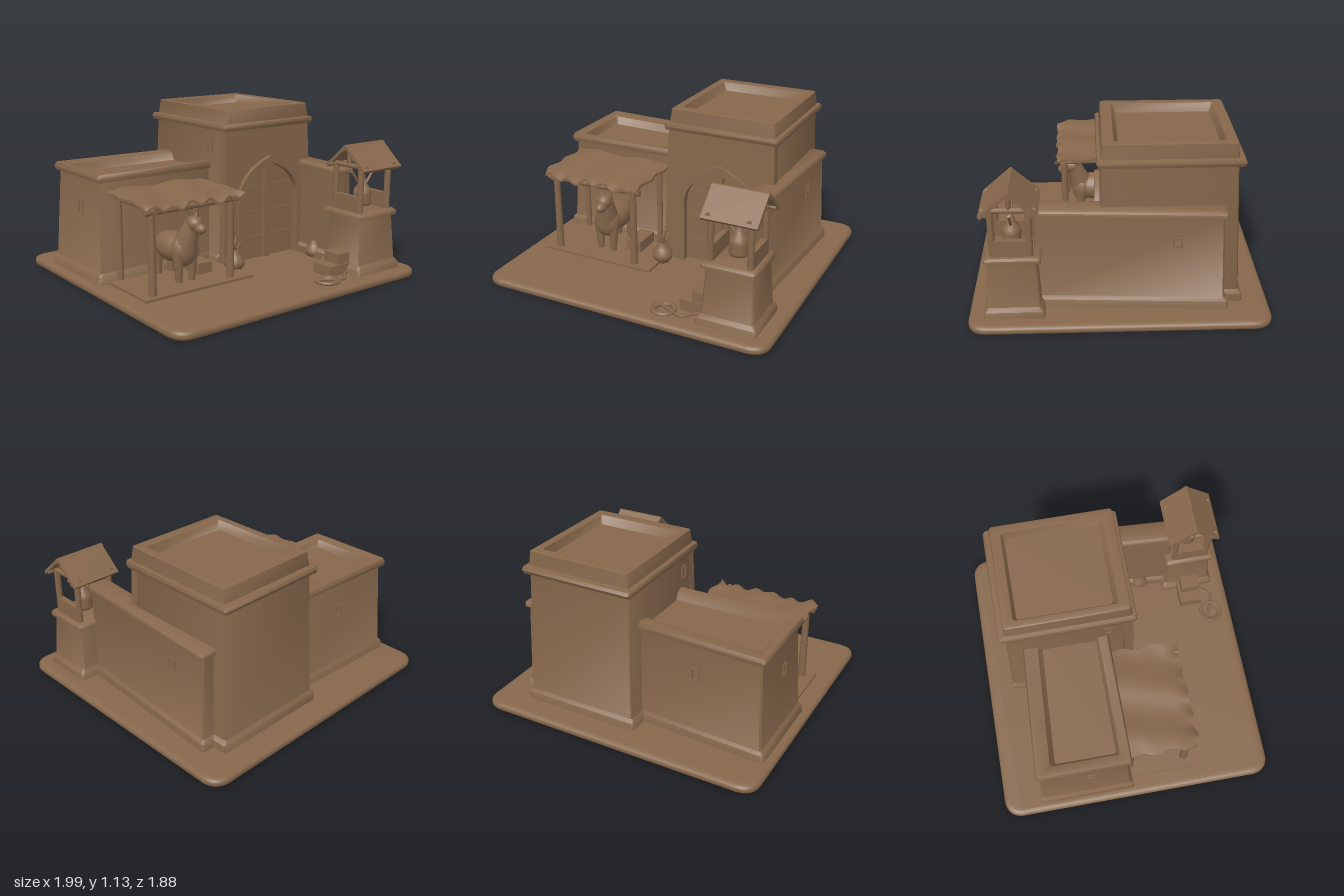
import * as THREE from 'three';
import { toCreasedNormals, mergeVertices } from 'three/addons/utils/BufferGeometryUtils.js';

const clay = new THREE.MeshStandardMaterial({ color: 0x86674b, side: THREE.DoubleSide });
clay.name = 'brown clay';

export function createModel() {
  const model = new THREE.Group();
  model.name = 'desertHouse';

  const add = (name, geometry, x = 0, y = 0, z = 0, parent = model) => {
    const mesh = new THREE.Mesh(geometry, clay);
    mesh.name = name;
    mesh.position.set(x, y, z);
    parent.add(mesh);
    return mesh;
  };
  const group = (name, parent = model) => {
    const g = new THREE.Group();
    g.name = name;
    parent.add(g);
    return g;
  };
  const box = (name, x0, x1, y0, y1, z0, z1, parent) =>
    add(name, new THREE.BoxGeometry(x1 - x0, y1 - y0, z1 - z0), (x0 + x1) / 2, (y0 + y1) / 2, (z0 + z1) / 2, parent);

  // Stack of chamfered rectangles [x0, x1, z0, z1, y], closed by a flat cap; skew(v) may bend it
  const stack = (name, rows, skew, parent) => {
    const pos = [], index = [], c = 0.012, v = new THREE.Vector3();
    const put = (x, y, z) => {
      v.set(x, y, z);
      if (skew) skew(v);
      pos.push(v.x, v.y, v.z);
    };
    for (const [x0, x1, z0, z1, y] of rows) {
      for (const [x, z] of [[x0 + c, z1], [x1 - c, z1], [x1, z1 - c], [x1, z0 + c],
        [x1 - c, z0], [x0 + c, z0], [x0, z0 + c], [x0, z1 - c]]) put(x, y, z);
    }
    for (let r = 0; r < rows.length - 1; r++) {
      for (let i = 0; i < 8; i++) {
        const a = r * 8 + i, b = r * 8 + (i + 1) % 8;
        index.push(a, b, b + 8, a, b + 8, a + 8);
      }
    }
    const last = (rows.length - 1) * 8;
    for (let i = 1; i < 7; i++) index.push(last, last + i, last + i + 1);
    const g = new THREE.BufferGeometry();
    g.setAttribute('position', new THREE.Float32BufferAttribute(pos, 3));
    g.setIndex(index);
    return add(name, toCreasedNormals(g, 0.8), 0, 0, 0, parent);
  };

  // Round pole between two points
  const pole = (name, a, b, r, parent, r2 = r) => {
    const p = new THREE.Vector3(...a), q = new THREE.Vector3(...b);
    const m = add(name, new THREE.CylinderGeometry(r2, r, p.distanceTo(q), 10), 0, 0, 0, parent);
    m.position.copy(p).lerp(q, 0.5);
    m.quaternion.setFromUnitVectors(new THREE.Vector3(0, 1, 0), q.sub(p).normalize());
    return m;
  };
  const ball = (name, x, y, z, sx, sy, sz, parent) => {
    const m = add(name, new THREE.SphereGeometry(1, 18, 12), x, y, z, parent);
    m.scale.set(sx, sy, sz);
    return m;
  };
  const lathe = (name, pts, x, y, z, parent) =>
    add(name, new THREE.LatheGeometry(pts.map(p => new THREE.Vector2(...p)), 20), x, y, z, parent);

  // Ground slab with rounded corners and a worn rim
  const slab = new THREE.Shape();
  const W = 0.96, D = 0.905, R = 0.09;
  slab.moveTo(-W + R, -D);
  slab.lineTo(W - R, -D); slab.quadraticCurveTo(W, -D, W, -D + R);
  slab.lineTo(W, D - R); slab.quadraticCurveTo(W, D, W - R, D);
  slab.lineTo(-W + R, D); slab.quadraticCurveTo(-W, D, -W, D - R);
  slab.lineTo(-W, -D + R); slab.quadraticCurveTo(-W, -D, -W + R, -D);
  const slabGeo = new THREE.ExtrudeGeometry(slab, { depth: 0.015, bevelSize: 0.035, bevelThickness: 0.022, bevelSegments: 3 });
  slabGeo.rotateX(-Math.PI / 2);
  add('ground', toCreasedNormals(slabGeo, 0.7), 0, 0.022, -0.005);

  // Tall gatehouse with ledge, parapet and sunken roof
  stack('tower', [
    [-0.08, 0.76, -0.78, 0.06, 0.04], [-0.075, 0.755, -0.775, 0.06, 0.11], [-0.06, 0.73, -0.755, 0.06, 0.13],
    [-0.04, 0.7, -0.715, 0.06, 0.985], [-0.06, 0.725, -0.75, 0.125, 0.987], [-0.065, 0.73, -0.76, 0.135, 1.01],
    [-0.06, 0.725, -0.75, 0.13, 1.03], [-0.035, 0.705, -0.715, 0.11, 1.035], [-0.025, 0.695, -0.705, 0.1, 1.125],
    [-0.015, 0.685, -0.695, 0.09, 1.13], [0.025, 0.64, -0.64, 0.03, 1.125], [0.05, 0.62, -0.62, 0, 1.07]]);

  // Pointed arch outline
  const arch = (Path, half, spring, top, bottom = 0.05) => {
    const p = new Path(), cx = 0.335;
    p.moveTo(cx - half, bottom);
    p.lineTo(cx + half, bottom);
    p.lineTo(cx + half, spring);
    p.bezierCurveTo(cx + half, spring + 0.15, cx + half * 0.65, top - 0.06, cx, top);
    p.bezierCurveTo(cx - half * 0.65, top - 0.06, cx - half, spring + 0.15, cx - half, spring);
    p.lineTo(cx - half, bottom);
    return p;
  };
  const extrude = (shape, depth) => new THREE.ExtrudeGeometry(shape, { depth, bevelEnabled: false, curveSegments: 14 });

  // Leaning front wall with the doorway cut out
  const entrance = group('entrance');
  const wall = new THREE.Shape([[-0.065, 0.04], [0.74, 0.04], [0.7, 0.99], [-0.04, 0.99]].map(p => new THREE.Vector2(...p)));
  wall.holes.push(arch(THREE.Path, 0.25, 0.47, 0.75, 0.045));
  const wallGeo = extrude(wall, 0.06);
  const wp = wallGeo.attributes.position;
  for (let i = 0; i < wp.count; i++) wp.setZ(i, wp.getZ(i) + (0.99 - wp.getY(i)) * 0.03);
  wallGeo.computeVertexNormals();
  add('frontWall', wallGeo, 0, 0, 0.045, entrance);
  const rim = arch(THREE.Shape, 0.285, 0.48, 0.79);
  rim.holes.push(arch(THREE.Path, 0.245, 0.47, 0.745, 0.052));
  add('archFrame', toCreasedNormals(extrude(rim, 0.045), 0.6), 0, 0, 0.1, entrance);
  add('doors', extrude(arch(THREE.Shape, 0.25, 0.47, 0.75), 0.02), 0, 0, 0.065, entrance);
  box('doorPost', 0.305, 0.355, 0.05, 0.73, 0.08, 0.11, entrance);
  for (const y of [0.2, 0.38, 0.56]) box('doorRail', 0.1, 0.57, y, y + 0.025, 0.08, 0.094, entrance);

  // Low wing with sunken roof; its back runs slightly askew
  stack('lowWing', [
    [-0.945, 0, -0.69, -0.03, 0.04], [-0.935, 0, -0.685, -0.035, 0.11], [-0.915, 0, -0.67, -0.05, 0.13],
    [-0.885, 0, -0.64, -0.075, 0.715], [-0.91, 0, -0.665, -0.055, 0.72], [-0.915, 0, -0.67, -0.05, 0.745],
    [-0.905, 0, -0.66, -0.06, 0.77], [-0.88, 0, -0.63, -0.08, 0.772], [-0.84, 0, -0.57, -0.12, 0.76],
    [-0.82, 0, -0.54, -0.14, 0.71]],
  v => { if (v.z < -0.4) v.z += (v.x + 0.9) * 0.05; });

  // Courtyard side wall, slightly askew
  stack('sideWall', [
    [0.6, 0.81, -0.68, 0.52, 0.04], [0.605, 0.805, -0.675, 0.52, 0.11], [0.63, 0.785, -0.655, 0.52, 0.13],
    [0.645, 0.765, -0.635, 0.52, 0.68], [0.63, 0.785, -0.655, 0.53, 0.685], [0.63, 0.785, -0.655, 0.53, 0.71],
    [0.645, 0.77, -0.64, 0.52, 0.725]],
  v => { v.x -= (v.z + 0.1) * 0.06; });

  // Small framed windows: x, y, z, turn about y
  const windowFrame = new THREE.Shape([[-0.03, -0.045], [0.03, -0.045], [0.028, 0.045], [-0.028, 0.045]].map(p => new THREE.Vector2(...p)));
  windowFrame.holes.push(new THREE.Path([[-0.02, -0.035], [0.02, -0.035], [0.02, 0.035], [-0.02, 0.035]].map(p => new THREE.Vector2(...p))));
  for (const [x, y, z, turn] of [[0.786, 0.525, -0.355, Math.PI / 2], [-0.899, 0.52, -0.32, -Math.PI / 2],
    [-0.45, 0.52, -0.632, Math.PI], [-0.048, 0.88, -0.05, -Math.PI / 2]]) {
    add('window', extrude(windowFrame, 0.008), x, y, z, model).rotation.y = turn;
  }

  // Corner pillar
  stack('cornerPillar', [
    [0.5, 0.9, 0.46, 0.845, 0.04], [0.505, 0.895, 0.465, 0.835, 0.1], [0.53, 0.875, 0.485, 0.815, 0.125],
    [0.55, 0.855, 0.5, 0.795, 0.425], [0.525, 0.875, 0.475, 0.82, 0.432], [0.525, 0.875, 0.475, 0.82, 0.455],
    [0.54, 0.865, 0.49, 0.805, 0.47]]);

  // Roofed bell stand on the pillar
  const stand = group('bellStand');
  for (const x of [0.57, 0.825]) {
    for (const z of [0.54, 0.765]) pole('standPost', [x, 0.46, z], [x, 0.78, z], 0.021, stand);
    box('sideSill', x - 0.02, x + 0.02, 0.46, 0.575, 0.54, 0.765, stand);
    pole('tieBeam', [x, 0.775, 0.5], [x, 0.775, 0.815], 0.017, stand);
    pole('kingPost', [x, 0.775, 0.655], [x, 0.88, 0.655], 0.014, stand);
  }
  for (const s of [-1, 1]) {
    const slope = add('roofSlope', new THREE.BoxGeometry(0.355, 0.022, 0.225), 0.705, 0.828, 0.655 + s * 0.085, stand);
    slope.rotation.x = s * 0.72;
    pole('eaveBeam', [0.53, 0.77, 0.655 + s * 0.13], [0.88, 0.77, 0.655 + s * 0.13], 0.014, stand);
  }
  pole('ridge', [0.525, 0.895, 0.655], [0.885, 0.895, 0.655], 0.019, stand);
  lathe('bell', [[0, 0], [0.055, 0], [0.062, 0.02], [0.055, 0.05], [0.062, 0.08], [0.055, 0.11], [0.03, 0.145],
    [0.02, 0.18], [0.012, 0.21], [0, 0.22]], 0.705, 0.49, 0.655, stand);
  pole('bellRope', [0.705, 0.69, 0.655], [0.705, 0.89, 0.655], 0.008, stand);
  for (const s of [-1, 1]) pole('bellBrace', [0.705 + s * 0.11, 0.73, 0.655], [0.705 + s * 0.03, 0.63, 0.655], 0.009, stand);

  // Steps beside the pillar and a coiled rope
  box('lowStep', 0.35, 0.53, 0.04, 0.13, 0.57, 0.73);
  box('highStep', 0.43, 0.53, 0.04, 0.2, 0.59, 0.72);
  const rope = [];
  for (let i = 0; i <= 40; i++) {
    const a = i / 40 * Math.PI * 5 + 0.5, r = 0.055 + i * 0.0006;
    rope.push(new THREE.Vector3(0.27 + Math.cos(a) * r, 0.063 + i * 0.0003, 0.785 + Math.sin(a) * r));
  }
  rope.push(new THREE.Vector3(0.4, 0.065, 0.81), new THREE.Vector3(0.46, 0.065, 0.75), new THREE.Vector3(0.52, 0.07, 0.72));
  add('coiledRope', new THREE.TubeGeometry(new THREE.CatmullRomCurve3(rope), 140, 0.011, 6));

  // Shelter with a sagging cloth roof
  const shelter = group('shelter');
  box('shelterFloor', -0.87, -0.04, 0.04, 0.075, -0.06, 0.41, shelter);
  for (const x of [-0.785, -0.185]) {
    pole('frontPost', [x, 0.06, 0.35], [x, 0.62, 0.35], 0.027, shelter, 0.021);
    pole('backPost', [x, 0.06, -0.03], [x, 0.64, -0.03], 0.022, shelter, 0.018);
    pole('rafter', [x, 0.62, -0.06], [x, 0.61, 0.4], 0.018, shelter);
  }
  pole('frontBeam', [-0.84, 0.6, 0.355], [-0.13, 0.6, 0.355], 0.021, shelter);
  const cloth = new THREE.BoxGeometry(0.73, 0.016, 0.47, 28, 1, 14);
  const cp = cloth.attributes.position;
  for (let i = 0; i < cp.count; i++) {
    const x = cp.getX(i), z = cp.getZ(i);
    const edge = Math.max(0, z - 0.18) * 0.5;
    cp.setXYZ(i, x + 0.012 * Math.sin(z * 31) * Math.abs(x) * 2.7,
      cp.getY(i) + 0.009 * Math.sin(x * 17 + z * 5) - z * 0.05 - edge * (0.6 + 0.6 * Math.sin(x * 45)),
      z + 0.01 * Math.sin(x * 38) * (z > 0 ? z * 4 : 0));
  }
  cloth.deleteAttribute('normal');
  cloth.deleteAttribute('uv');
  add('clothRoof', toCreasedNormals(mergeVertices(cloth), 0.7), -0.49, 0.645, 0.17, shelter);
  box('trough', -0.33, -0.22, 0.07, 0.15, 0.0, 0.2, shelter);

  // Pack animal facing the front
  const animal = group('animal');
  ball('body', -0.47, 0.28, 0.12, 0.105, 0.1, 0.18, animal);
  ball('chest', -0.465, 0.28, 0.23, 0.095, 0.11, 0.075, animal);
  pole('neck', [-0.465, 0.3, 0.23], [-0.44, 0.46, 0.28], 0.085, animal, 0.05);
  ball('head', -0.435, 0.465, 0.3, 0.05, 0.05, 0.06, animal);
  ball('muzzle', -0.43, 0.44, 0.35, 0.034, 0.036, 0.055, animal);
  for (const s of [-1, 1]) {
    const ear = add('ear', new THREE.ConeGeometry(0.015, 0.055, 8), -0.435 + s * 0.035, 0.505, 0.275, animal);
    ear.rotation.z = -s * 0.35;
    for (const z of [0.0, 0.24]) pole('leg', [-0.465 + s * 0.05, 0.07, z], [-0.465 + s * 0.055, 0.26, z], 0.022, animal, 0.038);
  }
  pole('tail', [-0.47, 0.32, -0.05], [-0.47, 0.16, -0.075], 0.012, animal, 0.02);

  // Jar with spiky plant, and a spare jar by the side wall
  const jar = [[0, 0], [0.045, 0], [0.068, 0.035], [0.07, 0.06], [0.05, 0.1], [0.03, 0.125], [0.038, 0.14], [0.025, 0.14], [0, 0.12]];
  const plant = group('pottedPlant');
  lathe('jar', jar, -0.04, 0.06, 0.21, plant);
  for (let i = 0; i < 8; i++) {
    const a = i * Math.PI / 4, r = i % 2 ? 0.055 : 0.03;
    pole('leaf', [-0.04, 0.18, 0.21], [-0.04 + Math.cos(a) * r, i % 2 ? 0.27 : 0.31, 0.21 + Math.sin(a) * r], 0.012, plant, 0.002);
  }
  lathe('spareJar', jar, 0.61, 0.05, 0.3).scale.setScalar(0.9);

  return model;
}
